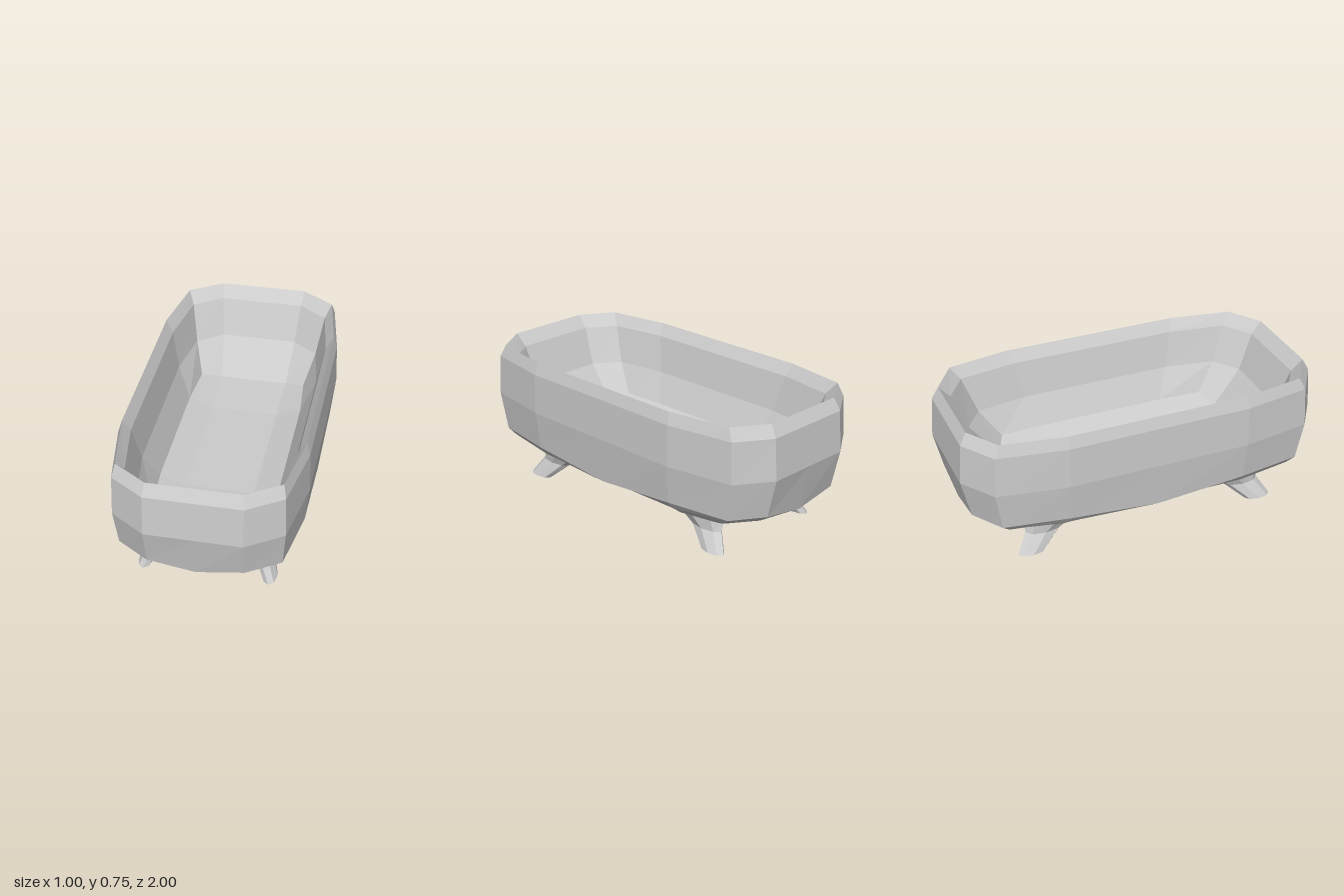
import * as THREE from 'three';

const material = new THREE.MeshStandardMaterial({ color: 0xcccccc, flatShading: true });

// Joins closed rings of points; rings run counter-clockwise seen from above.
function loft(name, rings) {
  const n = rings[0].length;
  const position = rings.flat(2);
  const index = [];
  for (let r = 0; r < rings.length - 1; r++) {
    for (let i = 0; i < n; i++) {
      const j = (i + 1) % n;
      const a = r * n + i, b = r * n + j, c = b + n, d = a + n;
      index.push(a, b, c, a, c, d);
    }
  }
  let geometry = new THREE.BufferGeometry();
  geometry.setAttribute('position', new THREE.Float32BufferAttribute(position, 3));
  geometry.setIndex(index);
  geometry = geometry.toNonIndexed();
  geometry.computeVertexNormals();
  const mesh = new THREE.Mesh(geometry, material);
  mesh.name = name;
  return mesh;
}

// Mirrors a quarter outline (front middle to side middle) into a 16-point ring.
function fullRing(q) {
  const flip = (p, sx, sz) => [p[0] * sx, p[1], p[2] * sz];
  const back = [...q].reverse();
  return [
    ...q.slice(0, 4),
    ...back.slice(0, 4).map((p) => flip(p, 1, -1)),
    ...q.slice(0, 4).map((p) => flip(p, -1, -1)),
    ...back.slice(0, 4).map((p) => flip(p, -1, 1)),
  ];
}

// Tub ring: height, end (x, z), corner (x, z), side (x, z), height at the middles
const tubRing = (y, ex, ez, cx, cz, sx, sz, midY = y) =>
  fullRing([[0, midY, ez], [ex, y, ez], [cx, y, cz], [sx, y, sz], [sx, midY, 0]]);

const rim = tubRing(0.755, 0.24, 0.95, 0.417, 0.835, 0.475, 0.49);

function outerWall() {
  return loft('tubOuterWall', [
    tubRing(0.26, 0.25, 0.95, 0.42, 0.84, 0.477, 0.49, 0.22),
    tubRing(0.47, 0.25, 1, 0.437, 0.875, 0.5, 0.5),
    tubRing(0.69, 0.25, 0.985, 0.432, 0.865, 0.494, 0.5),
    rim,
  ]);
}

function basin() {
  return loft('basin', [
    rim,
    tubRing(0.69, 0.23, 0.89, 0.385, 0.785, 0.435, 0.47),
    tubRing(0.49, 0.21, 0.81, 0.35, 0.71, 0.395, 0.43),
    fullRing([[0, 0.3, 0.65], [0.19, 0.3, 0.65], [0.3, 0.335, 0.6], [0.32, 0.33, 0.36], [0.32, 0.33, 0]]),
    fullRing([[0, 0.28, 0.36], [0.185, 0.28, 0.36], [0.185, 0.28, 0.36], [0.185, 0.28, 0.36], [0.185, 0.28, 0]]),
    Array.from({ length: 16 }, () => [0, 0.28, 0]),
  ]);
}

// Eight-sided elliptical ring of a leg, starting at its inner front corner
function legRing(y, cx, cz, rx, rz) {
  return Array.from({ length: 8 }, (_, i) => {
    const t = (i - 1) * Math.PI / 4;
    return [cx + rx * Math.sin(t), y, cz + rz * Math.cos(t)];
  });
}

// One quarter of the underside flowing down into its leg
function legQuarter(name, sx, sz) {
  const edge = [
    [0, 0.22, 0.95], [0.25, 0.26, 0.95], [0.42, 0.26, 0.84], [0.477, 0.26, 0.49],
    [0.477, 0.22, 0], [0.24, 0.2, 0], [0, 0.19, 0], [0, 0.2, 0.5],
  ];
  const belly = legRing(0.19, 0.25, 0.51, 0.16, 0.31);
  const bulge = edge.map((p, i) => p.map((v, k) =>
    v + (belly[i][k] - v) * 0.36 - (k === 1 && i > 0 && i < 4 ? 0.01 : 0)));
  const rings = [
    legRing(0, 0.3325, 0.665, 0, 0),
    legRing(0, 0.3325, 0.665, 0.038, 0.075),
    legRing(0.095, 0.285, 0.58, 0.045, 0.1),
    legRing(0.165, 0.2625, 0.52, 0.0825, 0.16),
    belly, bulge, edge,
  ].map((ring) => {
    const mirrored = ring.map((p) => [p[0] * sx, p[1], p[2] * sz]);
    return sx * sz < 0 ? mirrored.reverse() : mirrored;
  });
  return loft(name, rings);
}

export function createModel() {
  const model = new THREE.Group();
  model.name = 'bathtub';
  model.add(outerWall(), basin());
  for (const sz of [1, -1]) {
    for (const sx of [1, -1]) {
      model.add(legQuarter((sz > 0 ? 'front' : 'back') + (sx > 0 ? 'Left' : 'Right') + 'Leg', sx, sz));
    }
  }
  return model;
}
